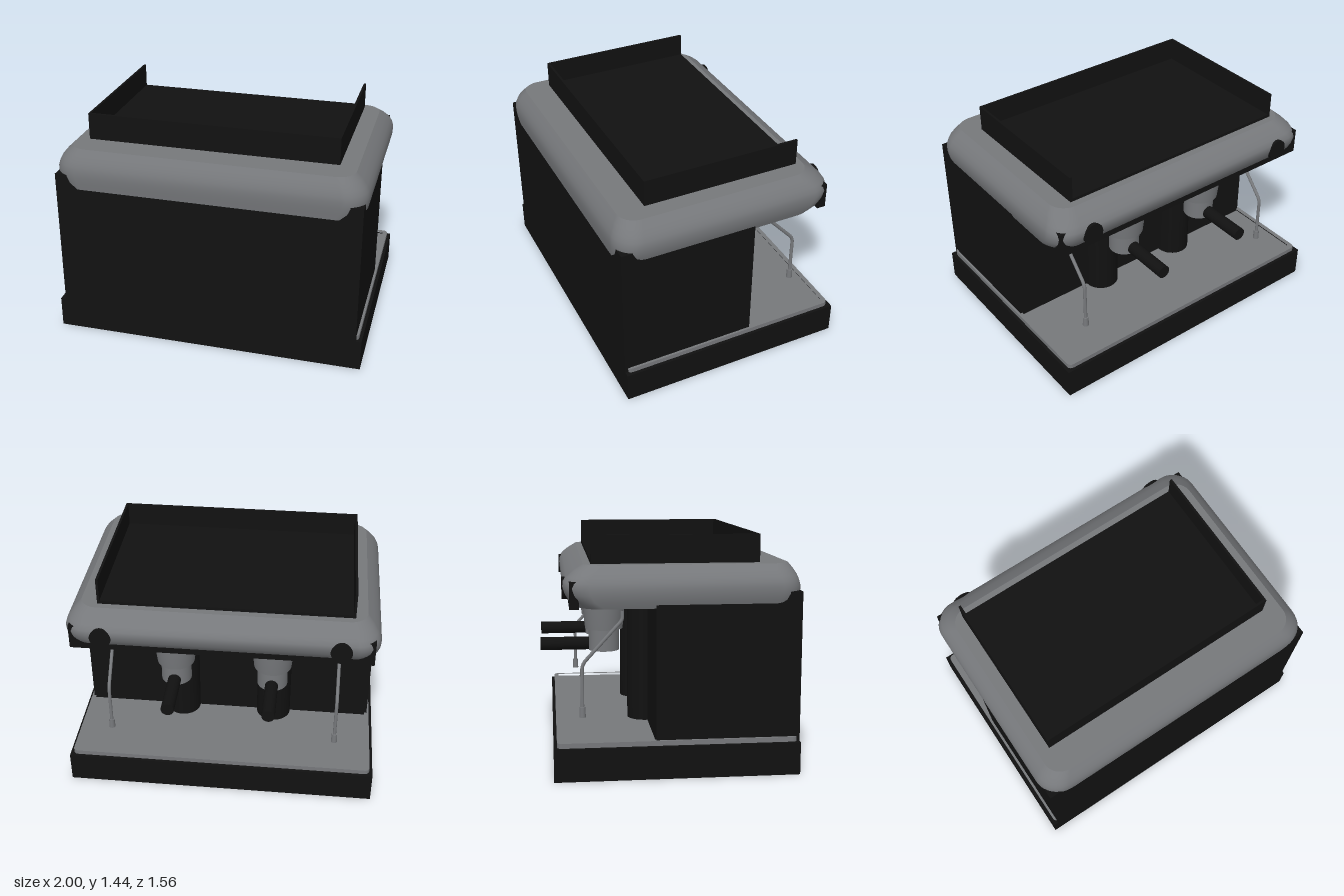
import * as THREE from 'three';

const black = new THREE.MeshStandardMaterial({ color: 0x111111 });
black.name = 'black enamel';
const steel = new THREE.MeshStandardMaterial({ color: 0x76787b });
steel.name = 'steel grey';

function add(parent, name, geometry, material, x = 0, y = 0, z = 0) {
  const mesh = new THREE.Mesh(geometry, material);
  mesh.name = name;
  mesh.position.set(x, y, z);
  parent.add(mesh);
  return mesh;
}

// box given by its lower and upper limits on each axis
function block(parent, name, material, [x0, x1], [y0, y1], [z0, z1]) {
  return add(parent, name, new THREE.BoxGeometry(x1 - x0, y1 - y0, z1 - z0), material,
    (x0 + x1) / 2, (y0 + y1) / 2, (z0 + z1) / 2);
}

// rounded rectangle outline as [x, z] points
function roundedRing(hx, zMin, zMax, r, steps = 10) {
  const points = [];
  const corners = [[hx - r, zMax - r], [r - hx, zMax - r], [r - hx, zMin + r], [hx - r, zMin + r]];
  corners.forEach(([cx, cz], k) => {
    for (let i = 0; i <= steps; i++) {
      const a = (k + i / steps) * Math.PI / 2;
      points.push([cx + r * Math.cos(a), cz + r * Math.sin(a)]);
    }
  });
  return points;
}

// lofted shell through rounded rectangles, with flat caps
function loft(sections) {
  const pos = [], index = [];
  const rings = sections.map(([y, hx, zMax, zMin, r]) =>
    roundedRing(hx, zMin, zMax, r).map(([x, z]) => [x, y, z]));
  const n = rings[0].length;
  rings.forEach(ring => ring.forEach(p => pos.push(...p)));
  for (let i = 0; i < rings.length - 1; i++) {
    for (let j = 0; j < n; j++) {
      const k = (j + 1) % n;
      const a = i * n + j, b = i * n + k, c = a + n, d = b + n;
      index.push(a, c, b, b, c, d);
    }
  }
  [[rings[0], false], [rings[rings.length - 1], true]].forEach(([ring, up]) => {
    const start = pos.length / 3;
    ring.forEach(p => pos.push(...p));
    pos.push(0, ring[0][1], 0);
    for (let j = 0; j < n; j++) {
      const k = (j + 1) % n;
      index.push(start + n, start + (up ? k : j), start + (up ? j : k));
    }
  });
  const g = new THREE.BufferGeometry();
  g.setAttribute('position', new THREE.Float32BufferAttribute(pos, 3));
  g.setIndex(index);
  g.computeVertexNormals();
  return g;
}

export function createModel() {
  const model = new THREE.Group();
  model.name = 'espressoMachine';

  // base and main body
  block(model, 'base', black, [-1, 1], [0, 0.2], [-0.71, 0.77]);
  block(model, 'body', black, [-0.965, 0.965], [0.2, 1.11], [-0.1, 0.77]);

  // drip tray: floor and raised rim
  const toVec = pts => pts.map(([x, z]) => new THREE.Vector2(x, -z));
  const rim = new THREE.Shape(toVec(roundedRing(0.98, -0.69, 0.755, 0.03, 4)));
  rim.holes.push(new THREE.Path(toVec(roundedRing(0.95, -0.66, 0.725, 0.02, 4))));
  const rimGeometry = new THREE.ExtrudeGeometry(rim, { depth: 0.03, bevelEnabled: false });
  rimGeometry.rotateX(-Math.PI / 2);
  add(model, 'trayRim', rimGeometry, steel, 0, 0.2, 0);
  block(model, 'trayFloor', steel, [-0.96, 0.96], [0.2, 0.213], [-0.67, 0.73]);

  // bulging upper housing: y, half width, z max, z min, corner radius
  add(model, 'upperHousing', loft([
    [1.02, 0.957, 0.772, -0.56, 0.16],
    [1.06, 0.972, 0.777, -0.607, 0.15],
    [1.10, 0.98, 0.781, -0.63, 0.15],
    [1.14, 0.981, 0.781, -0.642, 0.15],
    [1.17, 0.973, 0.774, -0.638, 0.15],
    [1.20, 0.957, 0.762, -0.618, 0.14],
    [1.235, 0.928, 0.741, -0.576, 0.13],
    [1.27, 0.89, 0.715, -0.52, 0.11],
  ]), steel);
  block(model, 'controlPanel', black, [-0.945, 0.945], [1.018, 1.18], [-0.605, -0.55]);

  // cup shelf with three walls, open on the working side
  const [x0, x1, z0, z1, t] = [-0.815, 0.78, -0.475, 0.54, 0.015];
  block(model, 'cupShelfFloor', black, [x0, x1], [1.265, 1.29], [z0, z1]);
  block(model, 'cupShelfFrontWall', black, [x0, x1], [1.27, 1.44], [z1 - t, z1]);
  block(model, 'cupShelfRightWall', black, [x0, x0 + t], [1.27, 1.44], [z0, z1 - t]);
  block(model, 'cupShelfLeftWall', black, [x1 - t, x1], [1.27, 1.44], [z0, z1 - t]);

  // shared geometry for the paired parts
  const v2 = (x, y) => new THREE.Vector2(x, y);
  const upperCup = new THREE.LatheGeometry(
    [v2(0.121, 0.805), v2(0.128, 0.87), v2(0.135, 0.95), v2(0.14, 1.025)], 40);
  const cupBottom = new THREE.CylinderGeometry(0.121, 0.121, 0.004, 40);
  const filter = new THREE.CylinderGeometry(0.098, 0.098, 0.145, 40);
  const handle = new THREE.CylinderGeometry(0.042, 0.042, 0.31, 24).rotateX(Math.PI / 2);
  const column = new THREE.CylinderGeometry(0.115, 0.115, 0.82, 32);
  const knob = new THREE.CylinderGeometry(0.067, 0.067, 0.095, 32).rotateX(Math.PI / 2);
  const v3 = (y, z) => new THREE.Vector3(0, y, z);
  const wandPath = new THREE.CurvePath();
  wandPath.add(new THREE.LineCurve3(v3(0.98, -0.283), v3(0.94, -0.283)));
  wandPath.add(new THREE.QuadraticBezierCurve3(v3(0.94, -0.283), v3(0.92, -0.283), v3(0.9, -0.304)));
  wandPath.add(new THREE.LineCurve3(v3(0.9, -0.304), v3(0.68, -0.505)));
  wandPath.add(new THREE.QuadraticBezierCurve3(v3(0.68, -0.505), v3(0.652, -0.53), v3(0.62, -0.53)));
  wandPath.add(new THREE.LineCurve3(v3(0.62, -0.53), v3(0.38, -0.53)));
  const wand = new THREE.TubeGeometry(wandPath, 60, 0.011, 12, false);
  const wandTip = new THREE.CylinderGeometry(0.018, 0.02, 0.065, 20);

  for (const side of [-1, 1]) {
    // brewing group with filter holder, in front of a round column
    const group = new THREE.Group();
    group.name = side > 0 ? 'leftBrewGroup' : 'rightBrewGroup';
    group.position.x = side * 0.315;
    add(group, 'groupHead', upperCup, steel, 0, 0, -0.372);
    add(group, 'groupHeadBottom', cupBottom, steel, 0, 0.807, -0.372);
    add(group, 'filterHolder', filter, steel, 0, 0.7375, -0.372);
    add(group, 'filterHandle', handle, black, 0, 0.708, -0.625);
    add(group, 'column', column, black, 0, 0.615, -0.107);
    model.add(group);

    // steam wand and its valve knob
    const steam = new THREE.Group();
    steam.name = side > 0 ? 'leftSteamWand' : 'rightSteamWand';
    steam.position.x = side * 0.74;
    add(steam, 'wandPipe', wand, steel);
    add(steam, 'wandTip', wandTip, steel, 0, 0.358, -0.53);
    add(steam, 'steamKnob', knob, black, 0, 1.123, -0.5985);
    model.add(steam);
  }
  return model;
}
